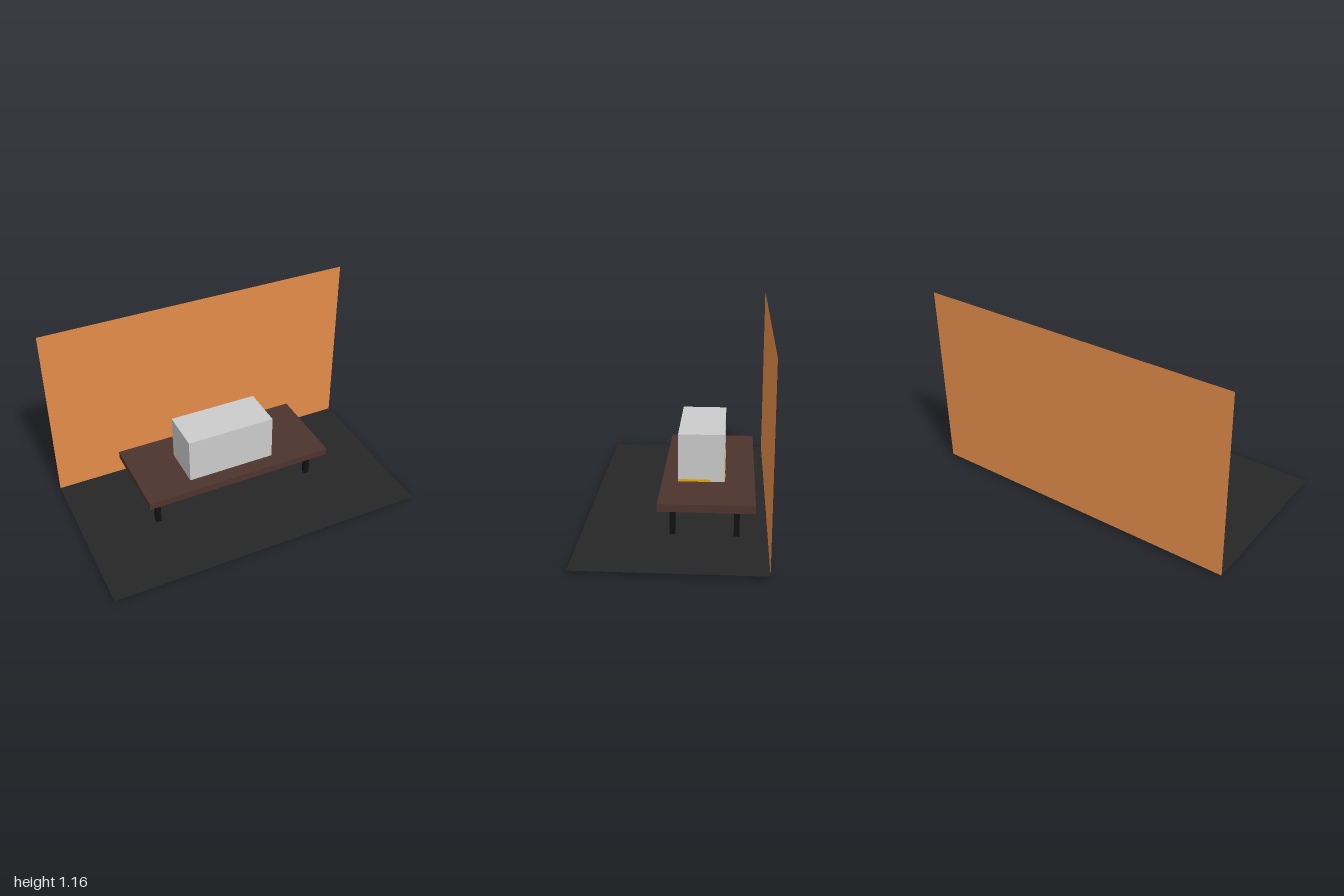
import * as THREE from 'three';

const paint = (color) => new THREE.MeshStandardMaterial({ color });

// Box given by its lower and upper limits on each axis
function block(name, [x0, x1], [y0, y1], [z0, z1], material) {
  const mesh = new THREE.Mesh(new THREE.BoxGeometry(x1 - x0, y1 - y0, z1 - z0), material);
  mesh.position.set((x0 + x1) / 2, (y0 + y1) / 2, (z0 + z1) / 2);
  mesh.name = name;
  return mesh;
}

function sheet(name, width, height, color) {
  const material = paint(color);
  material.side = THREE.DoubleSide;
  const mesh = new THREE.Mesh(new THREE.PlaneGeometry(width, height), material);
  mesh.name = name;
  return mesh;
}

export function createModel() {
  const model = new THREE.Group();
  model.name = 'roomScene';

  // Room: floor and back wall, both paper-thin
  const floorY = 0.025;
  const floor = sheet('floor', 2, 1.05, 0x262626);
  floor.rotation.x = -Math.PI / 2;
  floor.position.y = floorY;
  const wall = sheet('backWall', 2, 1.138, 0xe48c4a);
  wall.position.set(0, floorY + 0.569, -0.525);
  model.add(floor, wall);

  // Table
  const table = new THREE.Group();
  table.name = 'table';
  table.add(block('tableTop', [-0.608, 0.606], [0.195, 0.241], [-0.453, 0.09], paint(0x4e342e)));

  // Legs are slightly uneven in place and length: x, z, foot height
  const legPaint = paint(0x111111);
  const legs = [
    ['frontRightLeg', -0.538, 0.021, 0],
    ['backRightLeg', -0.526, -0.374, 0],
    ['frontLeftLeg', 0.506, 0.011, 0.02],
    ['backLeftLeg', 0.519, -0.351, 0.016],
  ];
  const r = 0.016;
  for (const [name, x, z, foot] of legs) {
    table.add(block(name, [x - r, x + r], [foot, 0.197], [z - r, z + r], legPaint));
  }
  model.add(table);

  // Crate on the table, with gold trim just proud of its sides
  const crate = new THREE.Group();
  crate.name = 'crate';
  const gold = paint(0xe4ab0c);
  crate.add(
    block('crateBody', [-0.304, 0.257], [0.24, 0.53], [-0.275, -0.004], paint(0xcccccc)),
    block('sideTrim', [0.25, 0.26], [0.24, 0.255], [-0.195, -0.006], gold),
    block('backTrim', [-0.298, 0.25], [0.243, 0.255], [-0.278, -0.27], gold),
    block('backTab', [0.19, 0.25], [0.247, 0.27], [-0.28, -0.27], gold),
  );
  model.add(crate);

  return model;
}
